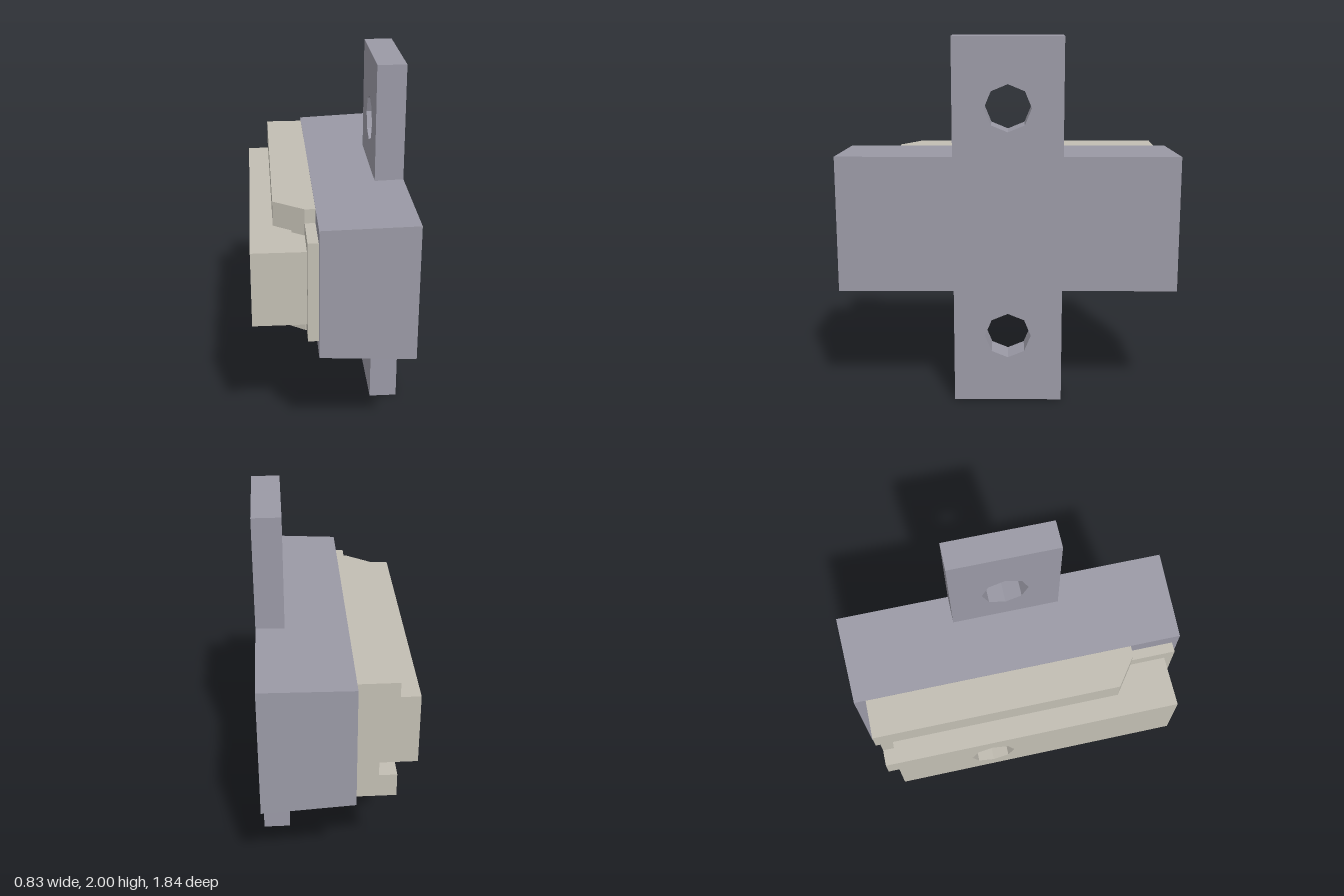
import * as THREE from 'three';

const dark = new THREE.MeshStandardMaterial({ color: 0x9a99a5, flatShading: true });
const light = new THREE.MeshStandardMaterial({ color: 0xc2beb3, flatShading: true });

function mesh(name, geometry, material) {
  const m = new THREE.Mesh(geometry, material);
  m.name = name;
  return m;
}

// Box given by its limits on each axis
function box(x0, x1, y0, y1, z0, z1) {
  return new THREE.BoxGeometry(x1 - x0, y1 - y0, z1 - z0)
    .translate((x0 + x1) / 2, (y0 + y1) / 2, (z0 + z1) / 2);
}

// Rectangular plate in the z-y plane, x0..x1 thick, with an eight-sided hole
function drilledPlate(x0, x1, y0, y1, z0, z1, holeZ, holeY, r) {
  const shape = new THREE.Shape([[z0, y0], [z1, y0], [z1, y1], [z0, y1]].map(p => new THREE.Vector2(...p)));
  const hole = [];
  for (let i = 0; i < 8; i++) {
    const a = -i * Math.PI / 4;
    hole.push(new THREE.Vector2(holeZ + r * Math.cos(a), holeY + r * Math.sin(a)));
  }
  shape.holes.push(new THREE.Path(hole));
  return new THREE.ExtrudeGeometry(shape, { depth: x1 - x0, bevelEnabled: false })
    .rotateY(-Math.PI / 2).translate(x1, 0, 0);
}

// Body block, slightly smaller towards the -x face
function taperedBody() {
  const g = box(-0.08, 0.415, -0.37, 0.37, -0.92, 0.92);
  const p = g.attributes.position;
  for (let i = 0; i < p.count; i++) {
    if (p.getX(i) < 0) {
      p.setY(i, Math.sign(p.getY(i)) * 0.352);
      p.setZ(i, Math.sign(p.getZ(i)) * 0.903);
    }
  }
  return g.translate(0, 1.002, 0);
}

// Channel with two side rails; its front end slopes back towards -x
function channel() {
  const xo = -0.295, xf = -0.2, xb = -0.135;
  const pts = [[xb, 0.655], [xb, 1.352], [xo, 1.352], [xo, 1.217], [xf, 1.217],
    [xf, 0.79], [xo, 0.79], [xo, 0.655]];
  const shape = new THREE.Shape(pts.map(p => new THREE.Vector2(...p)));
  const g = new THREE.ExtrudeGeometry(shape, { depth: 1, bevelEnabled: false });
  const p = g.attributes.position;
  for (let i = 0; i < p.count; i++) {
    const front = 0.625 + (p.getX(i) - xb) * 0.72;
    p.setZ(i, p.getZ(i) > 0.5 ? front : -0.84);
  }
  g.computeVertexNormals();
  return g;
}

export function createModel() {
  const model = new THREE.Group();
  model.name = 'latchModule';

  // Body with mounting ears above and below
  model.add(mesh('body', taperedBody(), dark));
  model.add(mesh('upperEar', drilledPlate(0.26, 0.415, 1.36, 2, -0.295, 0.295, 0, 1.628, 0.126), dark));
  model.add(mesh('lowerEar', drilledPlate(0.26, 0.415, 0, 0.642, -0.295, 0.295, 0, 0.375, 0.126), dark));

  // Guide: base, railed channel and narrow front tongue
  model.add(mesh('guideBase', box(-0.135, -0.08, 0.655, 1.352, -0.84, 0.625), light));
  model.add(mesh('guideChannel', channel(), light));
  model.add(mesh('guideTongue', box(-0.135, -0.08, 0.73, 1.275, 0.625, 0.87), light));

  // Sliding bar with its hole
  model.add(mesh('slider', drilledPlate(-0.415, -0.135, 0.8, 1.207, -0.747, 0.82, -0.22, 1, 0.12), light));

  return model;
}
